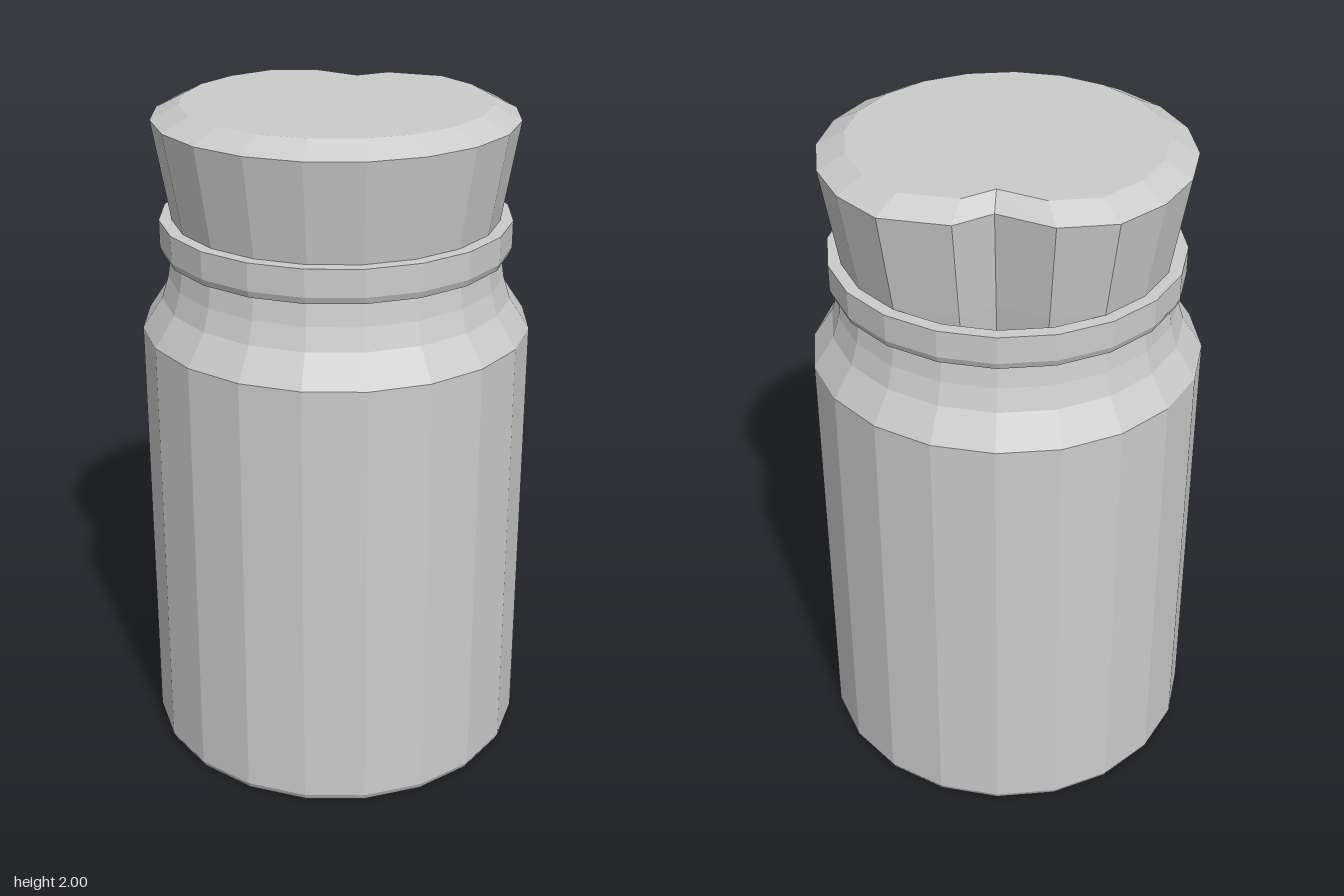
import * as THREE from 'three';

const SIDES = 20;

// Turn a list of [radius, height] pairs into a faceted solid of revolution.
function turned(name, profile) {
  const points = profile.map(([r, y]) => new THREE.Vector2(r, y));
  const geometry = new THREE.LatheGeometry(points, SIDES);
  const material = new THREE.MeshStandardMaterial({ color: 0xcccccc, flatShading: true });
  const mesh = new THREE.Mesh(geometry, material);
  mesh.name = name;
  return mesh;
}

export function createModel() {
  const group = new THREE.Group();
  group.name = 'corkedJar';

  // Jar: recessed base, straight wall, shoulder, neck, rim, then the inside
  group.add(turned('jar', [
    [0, 0.07], [0.21, 0.065], [0.45, 0.045], [0.5, 0],
    [0.57, 0], [0.58, 0.02], [0.575, 1.345],
    [0.515, 1.435], [0.495, 1.5], [0.485, 1.565],
    [0.507, 1.57], [0.515, 1.59], [0.515, 1.67],
    [0.477, 1.67], [0.462, 1.57], [0.46, 1.44],
    [0.535, 1.32], [0.535, 0.14], [0.49, 0.1], [0, 0.1],
  ]));

  // Cork: tapered plug with a bevelled top
  const corkProfile = [[0, 1.5], [0.445, 1.5], [0.478, 1.67], [0.527, 1.96], [0.446, 2], [0, 2]];
  const cork = turned('cork', corkProfile);

  // Chip in the back of the cork: three columns of vertices pulled inwards
  const chip = { 10: [0, -0.48], 9: [0.13, -0.365], 8: [0.25, -0.4] };
  const position = cork.geometry.attributes.position;
  for (const [column, [x, z]] of Object.entries(chip)) {
    corkProfile.forEach(([r, y], j) => {
      const s = r / 0.527;
      position.setXYZ(column * corkProfile.length + j, x * s, y, z * s);
    });
  }
  cork.geometry.computeVertexNormals();
  group.add(cork);

  return group;
}
